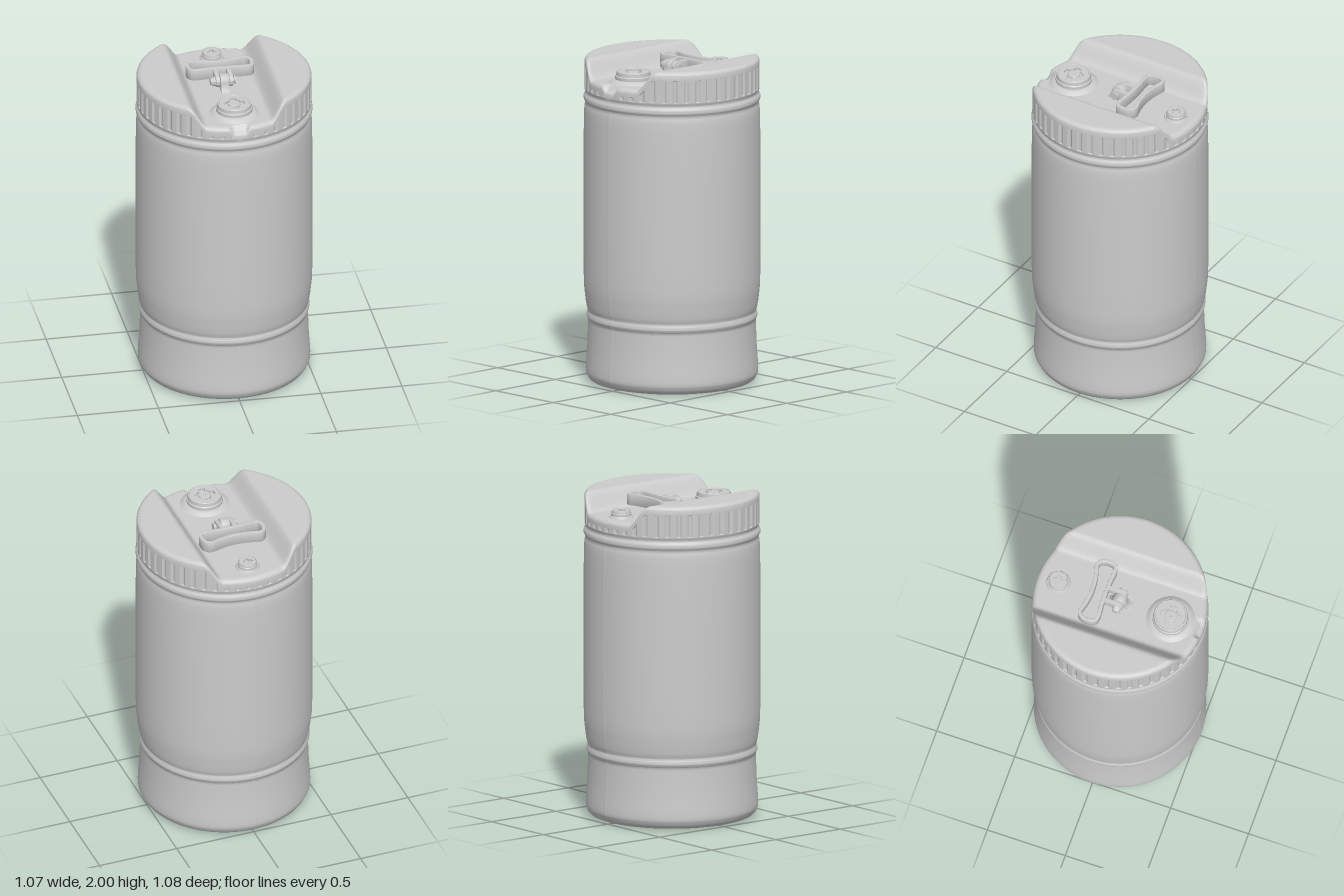
import * as THREE from 'three';
import { toCreasedNormals } from 'three/addons/utils/BufferGeometryUtils.js';

const grey = new THREE.MeshStandardMaterial({ color: 0xcccccc, side: THREE.DoubleSide });
const { smoothstep } = THREE.MathUtils;
const FLOOR = 1.885, RIM = 0.53, ROUND = 0.03, COLS = 288;

function add(parent, name, geometry, x = 0, y = 0, z = 0) {
  const mesh = new THREE.Mesh(geometry, grey);
  mesh.name = name;
  mesh.position.set(x, y, z);
  parent.add(mesh);
  return mesh;
}

const lathe = (points, segments = 48) =>
  toCreasedNormals(new THREE.LatheGeometry(points.map(p => new THREE.Vector2(...p)), segments), 0.5);

// Lid height: two raised crescents, a channel along z and a small pouring notch
function lidHeight(x, z) {
  const raised = (2 - FLOOR) * smoothstep(Math.abs(x), 0.19, 0.3);
  const notch = 0.035 * smoothstep(z, 0.475, 0.51) * (1 - smoothstep(Math.abs(x), 0.035, 0.065));
  return FLOOR + raised - notch;
}

// Drum shell: rings of points from the lid centre, over the rim, down to the base centre
function drumShell() {
  const rings = [];
  const at = (r, t) => [r * Math.sin(t), r * Math.cos(t)];
  for (let i = 0; i <= 45; i++) {
    const r = 0.001 + (RIM - ROUND - 0.001) * i / 45;
    rings.push(t => [r, lidHeight(...at(r, t))]);
  }
  for (let i = 1; i <= 6; i++) {
    const a = i / 6 * Math.PI / 2, r = RIM - ROUND * (1 - Math.sin(a));
    rings.push(t => [r, lidHeight(...at(r, t)) - ROUND * (1 - Math.cos(a))]);
  }
  // Upright slots in the rim band, shorter where the channel cuts through
  const slotTop = t => Math.min(1.95, lidHeight(...at(RIM, t)) - ROUND - 0.022);
  const slotted = j => RIM - (j % 6 === 2 || j % 6 === 3 ? 0.009 : 0);
  rings.push(t => [RIM, slotTop(t) + 0.003]);
  rings.push((t, j) => [slotted(j), slotTop(t)]);
  rings.push((t, j) => [slotted(j), 1.815]);
  rings.push(() => [RIM, 1.812]);
  // Side wall with upper bead, lower groove and bead; a faint mould seam front and back
  const side = new THREE.SplineCurve([
    [0.53, 1.805], [0.524, 1.79], [0.526, 1.78], [0.534, 1.765], [0.535, 1.745], [0.527, 1.73],
    [0.526, 1.715], [0.531, 1.68], [0.534, 1.55], [0.535, 1.1], [0.534, 0.65], [0.527, 0.54],
    [0.518, 0.47], [0.511, 0.445], [0.51, 0.435], [0.516, 0.42], [0.517, 0.405], [0.51, 0.388],
    [0.508, 0.37], [0.513, 0.22], [0.522, 0.08], [0.516, 0.045], [0.497, 0.016], [0.46, 0.002], [0.43, 0],
  ].map(p => new THREE.Vector2(...p)));
  for (const p of side.getPoints(72))
    rings.push((t, j) => [p.x + (j % (COLS / 2) === 0 ? 0.002 : 0), Math.max(0, p.y)]);
  // Underside with two shallow steps
  for (const p of [[0.342, 0], [0.338, 0.006], [0.252, 0.006], [0.248, 0.012], [0.001, 0.012]])
    rings.push(() => p);

  const position = [], index = [];
  rings.forEach((ring, i) => {
    for (let j = 0; j < COLS; j++) {
      const t = j / COLS * Math.PI * 2, [r, y] = ring(t, j), [x, z] = at(r, t);
      position.push(x, y, z);
      if (i === rings.length - 1) continue;
      const a = i * COLS + j, b = i * COLS + (j + 1) % COLS;
      index.push(a, a + COLS, b, b, a + COLS, b + COLS);
    }
  });
  const geometry = new THREE.BufferGeometry();
  geometry.setAttribute('position', new THREE.Float32BufferAttribute(position, 3));
  geometry.setIndex(index);
  return toCreasedNormals(geometry, 0.6);
}

// Cross outline: four arms reaching r, joined by a round middle of radius inner
function crossPath(r, inner, halfWidth) {
  const path = new THREE.Path(), points = [];
  for (let k = 0; k < 4; k++) {
    const m = k * Math.PI / 2, a = Math.asin(halfWidth / r), b = Math.asin(halfWidth / inner);
    for (const s of [-1, 0, 1]) points.push([r, m + s * a]);
    for (const s of [0, 0.33, 0.67, 1]) points.push([inner, m + b + s * (Math.PI / 2 - 2 * b)]);
  }
  return path.setFromPoints(points.map(([q, t]) => new THREE.Vector2(q * Math.cos(t), q * Math.sin(t))));
}

// Screw plug: turned body, raised lip and a top plate with a cross-shaped recess
function plug(name, r, height, cross) {
  const group = new THREE.Group();
  group.name = name;
  const top = height - 0.004;
  add(group, 'plugBody', lathe([
    [r, 0], [r, height * 0.55], [r * 0.95, height * 0.62], [r * 0.93, height - 0.004], [r * 0.9, height],
    [r * 0.84, height], [r * 0.82, top], [r * 0.8, top - 0.014], [0, top - 0.014]]));
  const plate = new THREE.Shape().absarc(0, 0, r * 0.83, 0, Math.PI * 2);
  plate.holes.push(crossPath(...cross));
  add(group, 'plugTop', new THREE.ExtrudeGeometry(plate, { depth: 0.014, bevelEnabled: false, curveSegments: 32 })
    .rotateX(-Math.PI / 2), 0, top - 0.014);
  return group;
}

// Banana-shaped handle outline, inset by d; shape y becomes -z
function handleOutline(d, Type) {
  const s = new Type(), r = 0.066 - d;
  s.moveTo(-0.145, 0.073 + d);
  s.quadraticCurveTo(0, 0.09 + d, 0.145, 0.073 + d);
  s.lineTo(0.165, 0.076 + d);
  s.bezierCurveTo(0.195 - d, 0.076 + d, 0.21 - d, 0.1, 0.209 - d, 0.145);
  s.bezierCurveTo(0.208 - d, 0.145 + r * 0.8, 0.17, 0.225 - d, 0.13, 0.208 - d);
  s.quadraticCurveTo(0, 0.168 - d, -0.13, 0.208 - d);
  s.bezierCurveTo(-0.17, 0.225 - d, -0.208 + d, 0.145 + r * 0.8, -0.209 + d, 0.145);
  s.bezierCurveTo(-0.21 + d, 0.1, -0.195 + d, 0.076 + d, -0.165, 0.076 + d);
  s.closePath();
  return s;
}

// Side profile given as (z, y), extruded across x and centred on it
function sideways(shape, width) {
  const g = new THREE.ExtrudeGeometry(shape, {
    depth: width - 0.006, bevelThickness: 0.003, bevelSize: 0.003, bevelSegments: 2, curveSegments: 20 });
  return toCreasedNormals(g.translate(0, 0, -(width - 0.006) / 2).rotateY(-Math.PI / 2).scale(-1, 1, -1).rotateY(Math.PI).scale(-1, 1, 1), 0.5);
}

export function createModel() {
  const model = new THREE.Group();
  model.name = 'drum';
  add(model, 'drumShell', drumShell());

  // Large plug on a conical collar, with a turned hub in its recess
  add(model, 'plugCollar', lathe([
    [0.155, -0.004], [0.145, 0.003], [0.128, 0.016], [0.12, 0.02], [0.1, 0.02]]), 0, FLOOR, 0.325);
  const large = plug('largePlug', 0.11, 0.07, [0.065, 0.047, 0.02]);
  large.position.set(0, FLOOR, 0.325);
  add(large, 'plugHub', lathe([
    [0.037, 0.05], [0.037, 0.062], [0.033, 0.065], [0.008, 0.065], [0.006, 0.06], [0, 0.06]]));
  model.add(large);

  // Small plug at the back
  add(model, 'smallPlugCollar', lathe([[0.075, -0.003], [0.068, 0.01], [0.055, 0.012]]), 0, FLOOR, -0.395);
  const small = plug('smallPlug', 0.061, 0.045, [0.03, 0.019, 0.011]);
  small.position.set(0, FLOOR, -0.395);
  model.add(small);

  // Hinged handle loop
  const loop = handleOutline(0.004, THREE.Shape);
  loop.holes.push(handleOutline(0.02, THREE.Path));
  add(model, 'handleLoop', toCreasedNormals(new THREE.ExtrudeGeometry(loop, {
    depth: 0.062, bevelThickness: 0.004, bevelSize: 0.004, bevelSegments: 2, curveSegments: 14,
  }).rotateX(-Math.PI / 2), 0.5), 0, 1.914);

  // Two handle arms reaching round the pin
  const arm = new THREE.Shape();
  arm.moveTo(-0.08, -0.02);
  arm.lineTo(0, -0.033);
  arm.absarc(0, 0, 0.033, -Math.PI / 2, Math.PI / 2);
  arm.lineTo(-0.08, 0.035);
  for (const side of [-1, 1]) add(model, 'handleArm', sideways(arm, 0.024), side * 0.041, 1.935);

  // Round lug on the lid with flared feet
  const lug = new THREE.Shape();
  lug.moveTo(-0.08, -0.055);
  lug.quadraticCurveTo(-0.05, -0.045, -0.04, 0);
  lug.absarc(0, 0, 0.04, Math.PI, 0, true);
  lug.quadraticCurveTo(0.05, -0.045, 0.08, -0.055);
  add(model, 'hingeLug', sideways(lug, 0.052), 0, 1.935);

  // Hinge pin with a tapered head and a flat end
  add(model, 'hingePin', lathe([
    [0, -0.07], [0.025, -0.07], [0.025, -0.06], [0.016, -0.058], [0.016, 0.055],
    [0.03, 0.055], [0.02, 0.085], [0, 0.085]], 24).rotateZ(Math.PI / 2), 0, 1.935);
  return model;
}
